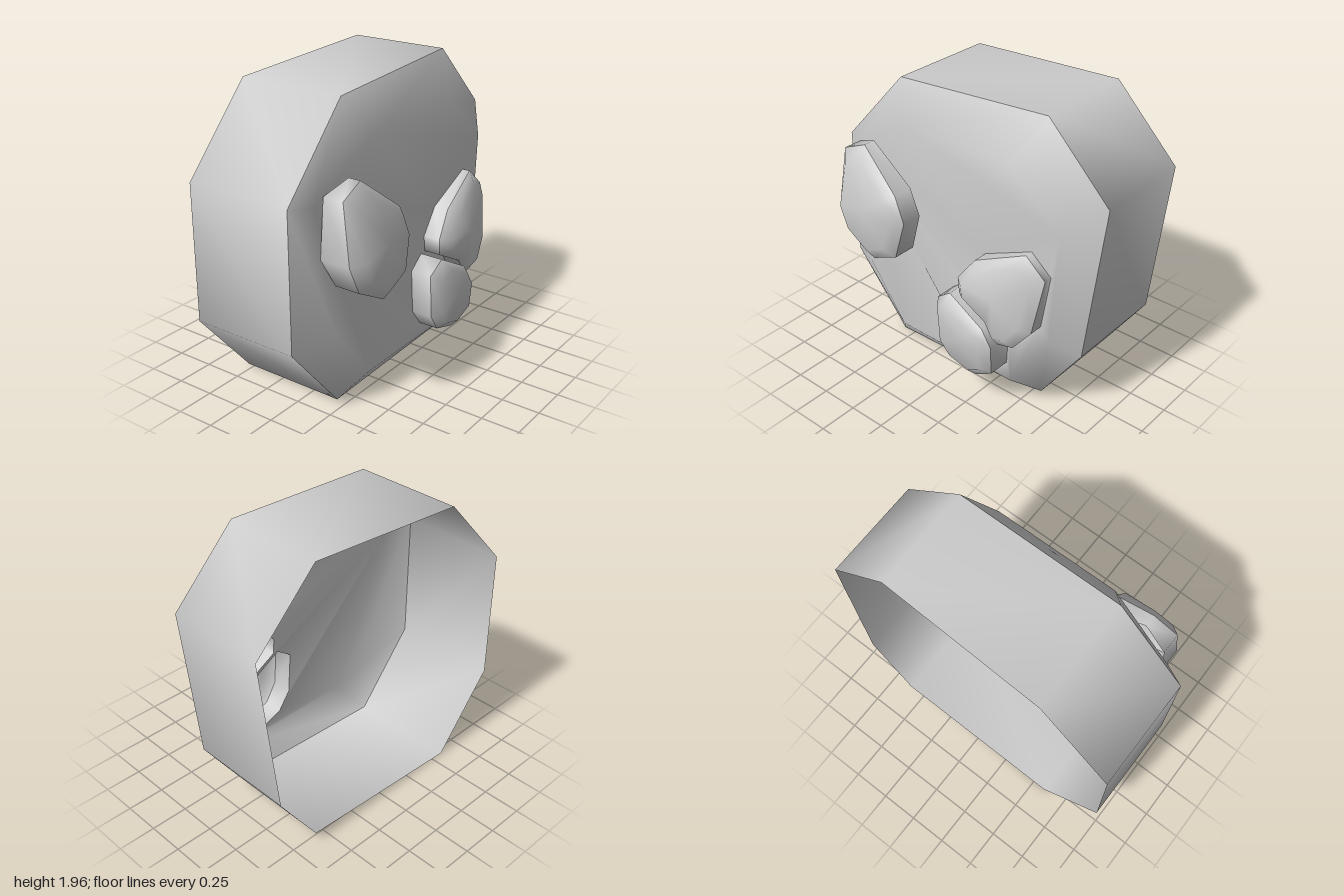
import * as THREE from 'three';

const material = new THREE.MeshStandardMaterial({ color: 0xcccccc, side: THREE.DoubleSide });

// Outlines run anticlockwise as seen from +x; every point is [x, y, z].
function makeMesh(name, points, index) {
  const g = new THREE.BufferGeometry();
  g.setAttribute('position', new THREE.Float32BufferAttribute(points.flat(), 3));
  g.setIndex(index);
  g.computeVertexNormals();
  const mesh = new THREE.Mesh(g, material);
  mesh.name = name;
  return mesh;
}

// Quads between consecutive rings of n points, from the back towards +x.
function bandIndex(n, rings) {
  const index = [];
  for (let r = 0; r < rings - 1; r++) {
    for (let i = 0; i < n; i++) {
      const a = r * n + i, b = r * n + (i + 1) % n;
      index.push(a, b, b + n, a, b + n, a + n);
    }
  }
  return index;
}

// Height of the faceplate: flat in the middle, falling off towards the edges.
const plateX = (z) => 0.32 - 0.5 * Math.max(0, z - 0.72) - 0.02 * Math.max(0, -z);

// Shell outline as [z, y, open rim x, plate edge x].
const shell = [
  [1, 1.38, -0.545, 0.18], [1, 0.49, -0.545, 0.18], [0.59, 0, -0.545, 0.18],
  [-0.6, 0.07, -0.545, 0.17], [-0.88, 0.48, -0.545, 0.16], [-1, 1.53, -0.52, 0.15],
  [-0.57, 1.96, -0.52, 0.15], [0.52, 1.9, -0.545, 0.18],
];
// Where the plate's sloping border meets its raised middle, as [z, y].
const middle = [
  [0.86, 1.36], [0.75, 0.55], [0.45, 0.18], [-0.46, 0.17],
  [-0.74, 0.6], [-0.79, 1.36], [-0.43, 1.67], [0.4, 1.67],
];

// Knob outlines as [z, y, rim x], with the height of the dome's middle.
const knobs = [
  {
    name: 'frontKnob', top: 0.542,
    outline: [
      [0.64, 1.49, 0.4], [0.81, 1.42, 0.41], [0.83, 1.05, 0.465], [0.75, 0.87, 0.47],
      [0.53, 0.75, 0.48], [0.34, 0.83, 0.475], [0.27, 1.09, 0.46], [0.34, 1.26, 0.455],
    ],
  },
  {
    name: 'rearKnob', top: 0.485,
    outline: [
      [-0.6, 1.18, 0.36], [-0.26, 1.03, 0.41], [-0.14, 0.87, 0.43], [-0.15, 0.765, 0.43],
      [-0.385, 0.64, 0.43], [-0.455, 0.52, 0.43], [-0.56, 0.54, 0.42],
      [-0.68, 0.69, 0.4], [-0.74, 1.06, 0.36],
    ],
  },
  {
    name: 'lowerKnob', top: 0.532,
    outline: [
      [-0.11, 0.76, 0.47], [0, 0.68, 0.46], [-0.02, 0.39, 0.46], [-0.11, 0.27, 0.45],
      [-0.29, 0.21, 0.44], [-0.43, 0.3, 0.46], [-0.44, 0.51, 0.48], [-0.37, 0.62, 0.48],
    ],
  },
];

function makeKnob({ name, top, outline }) {
  const group = new THREE.Group();
  group.name = name;
  const n = outline.length;
  const base = outline.map(([z, y]) => [plateX(z), y, z]);
  const rim = outline.map(([z, y, x]) => [x, y, z]);

  // bevel rising from the rim to a gently domed face
  const mean = (k) => (Math.max(...outline.map((p) => p[k])) + Math.min(...outline.map((p) => p[k]))) / 2;
  const cz = mean(0), cy = mean(1);
  const bevel = outline.map(([z, y, x]) => [
    Math.min(x + 0.062, top), cy + (y - cy) * 0.77, cz + (z - cz) * 0.77]);
  const domeIndex = bandIndex(n, 2);
  for (let i = 0; i < n; i++) domeIndex.push(n + i, n + (i + 1) % n, 2 * n);

  group.add(makeMesh(name + 'Side', [...base, ...rim], bandIndex(n, 2)));
  group.add(makeMesh(name + 'Dome', [...rim, ...bevel, [top, cy, cz]], domeIndex));
  return group;
}

export function createModel() {
  const model = new THREE.Group();
  model.name = 'shellWithKnobs';
  const n = shell.length;

  // open-backed side wall
  const backRim = shell.map(([z, y, x]) => [x, y, z]);
  const frontRim = shell.map(([z, y, , x]) => [x, y, z]);
  model.add(makeMesh('sideWall', [...backRim, ...frontRim], bandIndex(n, 2)));

  // faceplate: sloping border, then a raised middle pierced under each knob
  const contour = middle.map(([z, y]) => new THREE.Vector2(-z, y));
  const holes = knobs.map((k) => k.outline.map(([z, y]) => new THREE.Vector2(-z, y)).reverse());
  const inner = [...contour, ...holes.flat()].map((p) => [plateX(-p.x), p.y, -p.x]);
  const faces = THREE.ShapeUtils.triangulateShape(contour, holes).flat().map((i) => i + n);
  model.add(makeMesh('faceplate', [...frontRim, ...inner], [...bandIndex(n, 2), ...faces]));

  for (const k of knobs) model.add(makeKnob(k));
  return model;
}
